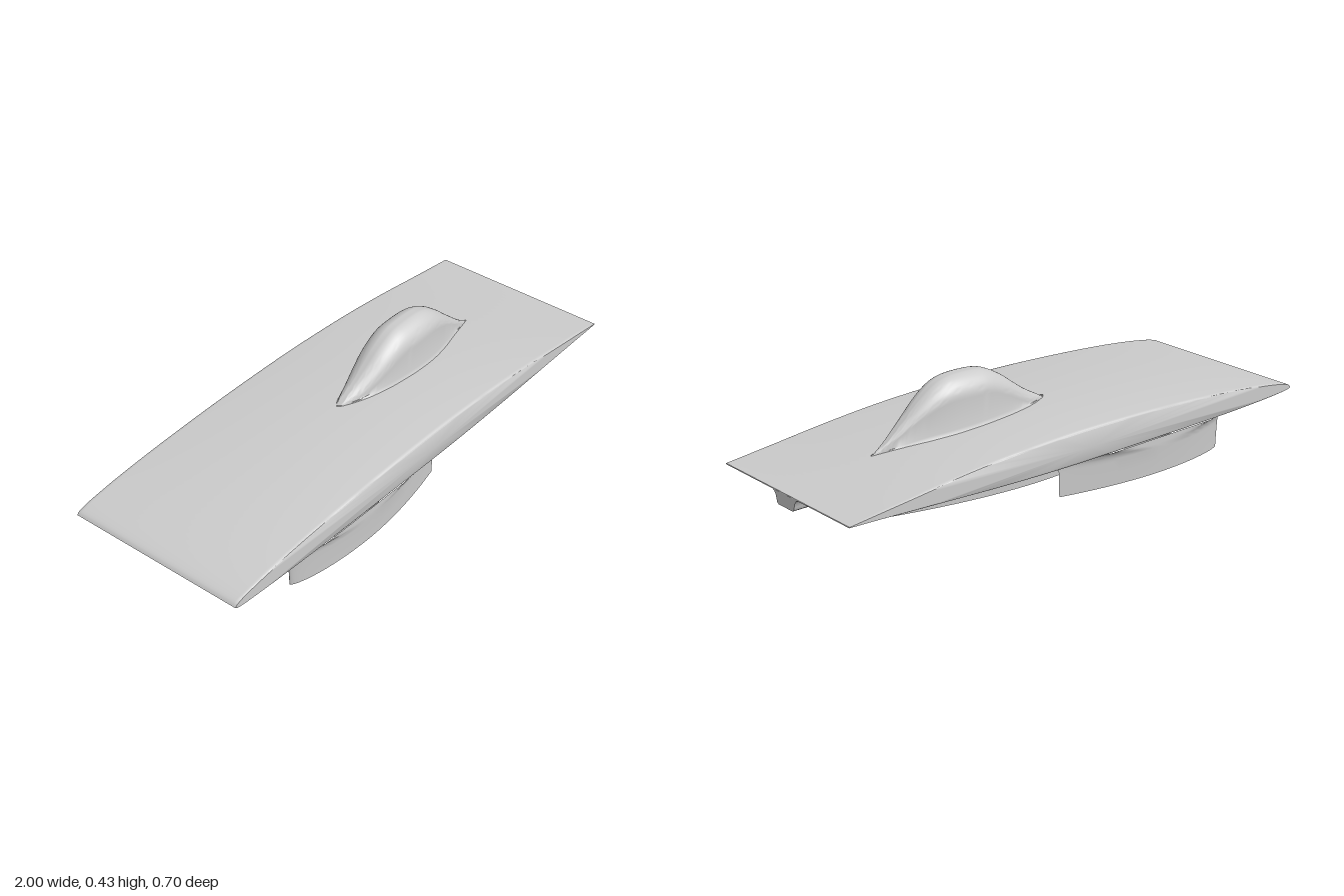
import * as THREE from 'three';
import { toCreasedNormals } from 'three/addons/utils/BufferGeometryUtils.js';

const material = new THREE.MeshStandardMaterial({ color: 0xcccccc });

// Smooth height function y(x) through a few points.
function curve(...points) {
  const p = new THREE.SplineCurve(points.map(([x, y]) => new THREE.Vector2(x, y))).getPoints(400);
  return (x) => {
    let i = 1;
    while (i < p.length - 1 && p[i].x < x) i++;
    const t = THREE.MathUtils.clamp((x - p[i - 1].x) / (p[i].x - p[i - 1].x), 0, 1);
    return THREE.MathUtils.lerp(p[i - 1].y, p[i].y, t);
  };
}

// Skin over rings of [x, y, z]; rings run counter-clockwise seen from the end they advance to.
function loft(rings, { closed = true, caps = false, crease = 0.6 } = {}) {
  const n = rings[0].length;
  const pos = rings.flat(2);
  const index = [];
  for (let i = 0; i < rings.length - 1; i++) {
    for (let j = 0; j < (closed ? n : n - 1); j++) {
      const k = (j + 1) % n;
      const a = i * n + j, b = i * n + k, c = a + n, d = b + n;
      index.push(a, b, c, b, d, c);
    }
  }
  if (caps) {
    for (const i of [0, rings.length - 1]) {
      const centre = pos.length / 3;
      for (let a = 0; a < 3; a++) pos.push(rings[i].reduce((s, p) => s + p[a], 0) / n);
      for (let j = 0; j < n; j++) {
        const a = i * n + j, b = i * n + ((j + 1) % n);
        if (i) index.push(centre, a, b);
        else index.push(centre, b, a);
      }
    }
  }
  const g = new THREE.BufferGeometry();
  g.setAttribute('position', new THREE.Float32BufferAttribute(pos, 3));
  g.setIndex(index);
  return toCreasedNormals(g, crease);
}

function add(parent, name, geometry) {
  const mesh = new THREE.Mesh(geometry, material);
  mesh.name = name;
  parent.add(mesh);
  return mesh;
}

const bodyTop = curve([-1, 0.168], [-0.985, 0.181], [-0.93, 0.195], [-0.8, 0.213], [-0.6, 0.23],
  [-0.3, 0.245], [0, 0.25], [0.2, 0.246], [0.4, 0.236], [0.6, 0.218], [0.8, 0.194], [1, 0.17]);
const bodyBottom = curve([-1, 0.168], [-0.985, 0.16], [-0.93, 0.153], [-0.8, 0.145], [-0.6, 0.138],
  [-0.2, 0.133], [0.1, 0.131], [0.4, 0.138], [0.7, 0.152], [0.85, 0.16], [1, 0.167]);

// Wing-shaped body with softly rounded side edges.
function bodyGeometry() {
  const N = 64;
  const levels = [[-0.35, 0.86], [-0.3485, 0.93], [-0.345, 0.975], [-0.337, 1]];
  const all = [...levels, ...levels.map(([z, s]) => [-z, s]).reverse()];
  const rings = all.map(([z, s]) => {
    const ring = [];
    for (let i = 0; i < 2 * N; i++) {
      const x = -Math.cos((i / N) * Math.PI);
      const mid = (bodyTop(x) + bodyBottom(x)) / 2;
      const y = i <= N ? bodyBottom(x) : bodyTop(x);
      ring.push([x, mid + (y - mid) * s, z]);
    }
    return ring;
  });
  return loft(rings, { caps: true });
}

// Teardrop canopy: upright sides, domed top, small flare at the foot.
function canopyGeometry() {
  const ridge = curve([-0.09, 0.248], [0, 0.298], [0.06, 0.34], [0.12, 0.383], [0.19, 0.418], [0.25, 0.427],
    [0.34, 0.426], [0.4, 0.408], [0.46, 0.368], [0.53, 0.308], [0.6, 0.25], [0.66, 0.21]);
  const width = curve([-0.09, 0], [-0.07, 0.014], [0, 0.041], [0.1, 0.064], [0.2, 0.074], [0.28, 0.076],
    [0.36, 0.071], [0.44, 0.056], [0.54, 0.03], [0.66, 0]);
  const rings = [];
  for (let i = 0; i <= 60; i++) {
    const x = -0.09 + 0.375 * (1 - Math.cos((i / 60) * Math.PI));
    const w = width(x), base = bodyTop(x), h = Math.max(ridge(x) - base, 0.0005);
    const dome = Math.min(w, h * 0.9);
    const flare = Math.min(0.01, w * 0.2);
    const side = [[w + flare, -0.004], [w + flare * 0.5, 0.004], [w * 1.02, Math.min(0.014, h * 0.1)]];
    const ring = side.map(([z, y]) => [x, base + y, -z]);
    for (let k = 0; k <= 24; k++) {
      const a = (k / 24) * Math.PI;
      ring.push([x, base + h - dome + dome * Math.sin(a), -w * Math.cos(a)]);
    }
    ring.push(...side.reverse().map(([z, y]) => [x, base + y, z]));
    rings.push(ring);
  }
  return loft(rings, { closed: false, crease: 0.9 });
}

// Wheel fairing: rounded nose, sharp tail, filleted into the body, with a wheel opening below.
function wheelFairing(name, x0, x1, zMid, half, holeX) {
  const group = new THREE.Group();
  group.name = name;
  const N = 40, peak = 0.45;
  const halfWidth = (s) => s < peak
    ? Math.pow(Math.max(0, 1 - ((peak - s) / peak) ** 2), 0.65)
    : 1 - Math.pow((s - peak) / (1 - peak), 1.8);
  const outline = (grow, t) => {
    const a = x0 - grow, b = x1 + grow * 0.6, ring = [];
    for (let i = 0; i < 2 * N; i++) {
      const s = (1 + Math.cos((i / N) * Math.PI)) / 2;
      const x = a + (b - a) * s;
      const w = (half + grow) * halfWidth(s) * (i < N ? -1 : 1);
      const z = THREE.MathUtils.clamp(zMid + w, -0.349, 0.349);
      ring.push([x, t * bodyBottom(x), z]);
    }
    return ring;
  };
  const levels = [[0, 0], [0.35, 0.002], [0.68, 0.005]];
  for (let k = 1; k <= 8; k++) {
    const a = (k / 8) * Math.PI / 2;
    levels.push([0.68 + 0.325 * Math.sin(a), 0.005 + 0.037 * (1 - Math.cos(a))]);
  }
  add(group, 'fairingSkin', loft(levels.map(([t, grow]) => outline(grow, t)), { crease: 0.8 }));

  // Flat underside around the wheel opening, and the walls of the wheel well.
  const toVec = ([x, , z]) => new THREE.Vector2(x, z);
  const hole = [];
  for (let c = 0; c < 4; c++) {
    for (let k = 0; k <= 4; k++) {
      const a = (c + k / 4) * Math.PI / 2;
      const sx = c === 0 || c === 3 ? 1 : -1, sz = c < 2 ? 1 : -1;
      hole.push([holeX + sx * 0.075 + 0.015 * Math.cos(a), 0, zMid + sz * 0.017 + 0.015 * Math.sin(a)]);
    }
  }
  const shape = new THREE.Shape(outline(0, 0).map(toVec));
  shape.holes.push(new THREE.Path(hole.map(toVec)));
  add(group, 'fairingUnderside', new THREE.ShapeGeometry(shape).rotateX(Math.PI / 2));
  const roof = hole.map(([x, , z]) => [x, bodyBottom(x) + 0.003, z]);
  add(group, 'wheelWell', loft([hole, roof]));
  return group;
}

// Keel running from the rear fairing to the tail edge.
function tailKeelGeometry() {
  const half = [[0.075, 0.168], [0.062, 0.163], [0.054, 0.152], [0.05, 0.138], [0.047, 0.127], [0.04, 0.122]];
  const rings = [[0.6, 0.3], [0.72, 0.7], [0.8, 0.9], [0.9, 1], [1, 1]].map(([x, s]) => [
    ...half.map(([z, y]) => [x, y, z * s]),
    ...half.map(([z, y]) => [x, y, -z * s]).reverse(),
  ]);
  return loft(rings, { caps: true, crease: 0.7 });
}

export function createModel() {
  const model = new THREE.Group();
  model.name = 'solarCar';
  add(model, 'body', bodyGeometry());
  add(model, 'canopy', canopyGeometry());
  for (const side of [-1, 1]) {
    model.add(wheelFairing(side < 0 ? 'frontFairingFar' : 'frontFairingNear', -0.675, 0.085, side * 0.286, 0.057, -0.33));
  }
  model.add(wheelFairing('rearFairing', -0.54, 0.77, 0, 0.137, 0.45));
  add(model, 'tailKeel', tailKeelGeometry());
  return model;
}
